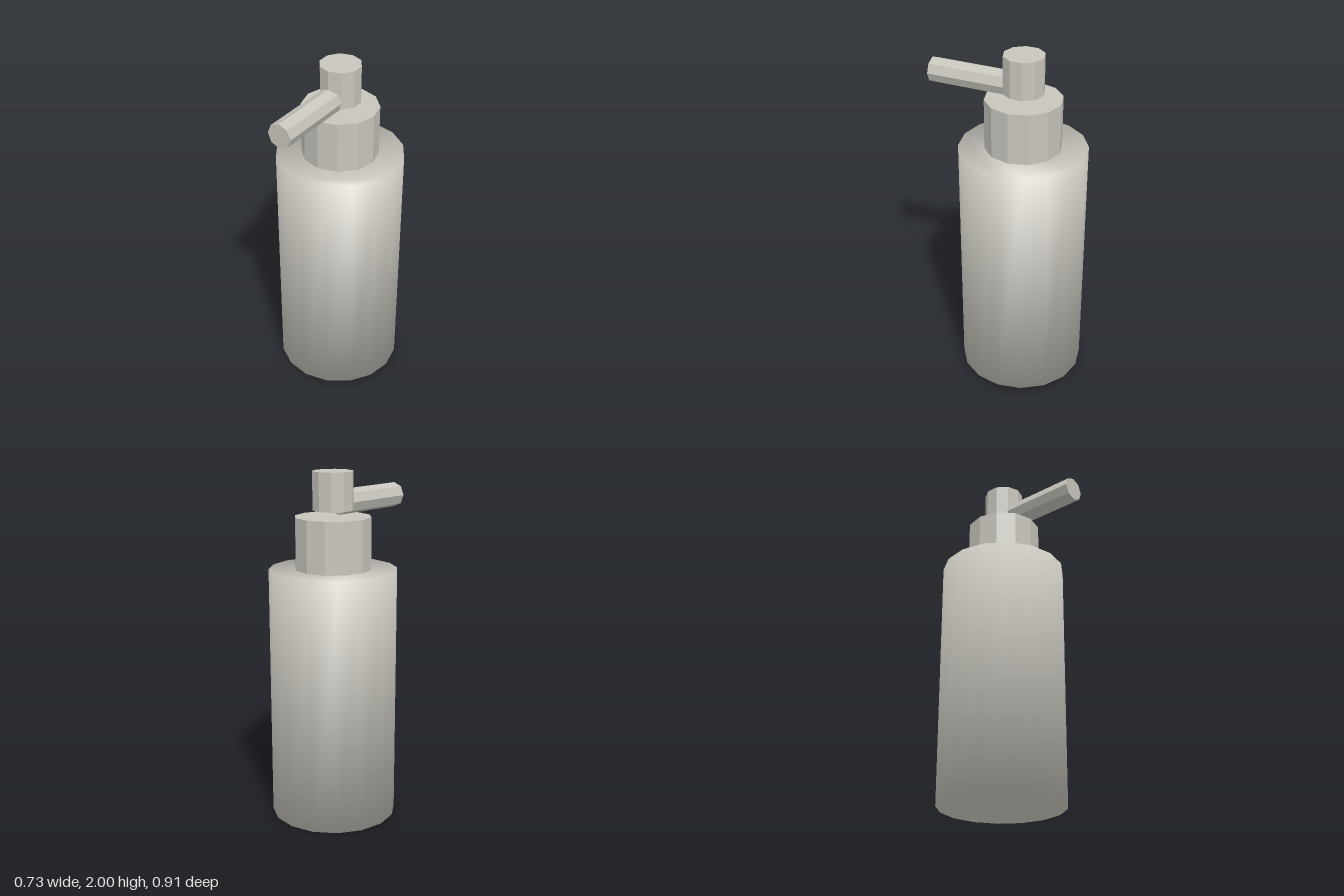
import * as THREE from 'three';

const AXIS_Z = -0.092; // pump axis sits behind the origin to balance the spout

// Cylinder whose wall and caps share rim normals, giving soft pillow-like shading
function softCylinder(radius, height, sides) {
  const pos = [], nor = [], idx = [];
  for (let k = 0; k < 2; k++) {
    for (let i = 0; i < sides; i++) {
      const a = (i / sides) * Math.PI * 2;
      const n = new THREE.Vector3(Math.sin(a), k ? 0.89 : -0.89, Math.cos(a)).normalize();
      pos.push(Math.sin(a) * radius, k * height, Math.cos(a) * radius);
      nor.push(n.x, n.y, n.z);
    }
  }
  for (let i = 0; i < sides; i++) {
    const j = (i + 1) % sides;
    idx.push(i, j, sides + j, i, sides + j, sides + i); // wall
    if (i > 0 && j > 0) {
      idx.push(sides, sides + i, sides + j); // top cap
      idx.push(0, j, i); // bottom cap
    }
  }
  const g = new THREE.BufferGeometry();
  g.setAttribute('position', new THREE.Float32BufferAttribute(pos, 3));
  g.setAttribute('normal', new THREE.Float32BufferAttribute(nor, 3));
  g.setIndex(idx);
  return g;
}

// Faceted upright cylinder between two heights
function facetedCylinder(radius, y0, y1, sides) {
  const g = new THREE.CylinderGeometry(radius, radius, y1 - y0, sides).toNonIndexed();
  g.computeVertexNormals();
  g.translate(0, (y0 + y1) / 2, 0);
  return g;
}

export function createModel() {
  const group = new THREE.Group();
  group.name = 'soapDispenser';
  const grey = new THREE.MeshStandardMaterial({ color: 0xc8c5bd });
  grey.name = 'warm grey';

  const add = (name, geometry, z = AXIS_Z) => {
    const mesh = new THREE.Mesh(geometry, grey);
    mesh.name = name;
    mesh.position.z = z;
    group.add(mesh);
    return mesh;
  };

  add('bottle', softCylinder(0.363, 1.457, 16));
  add('collar', facetedCylinder(0.217, 1.457, 1.75, 12));
  add('pumpHead', facetedCylinder(0.116, 1.785, 2, 10));

  // Spout: octagonal rod pointing forward
  const spout = facetedCylinder(0.071, -0.052, 0.455, 8);
  spout.rotateX(Math.PI / 2);
  add('spout', spout, 0).position.y = 1.823;

  return group;
}
